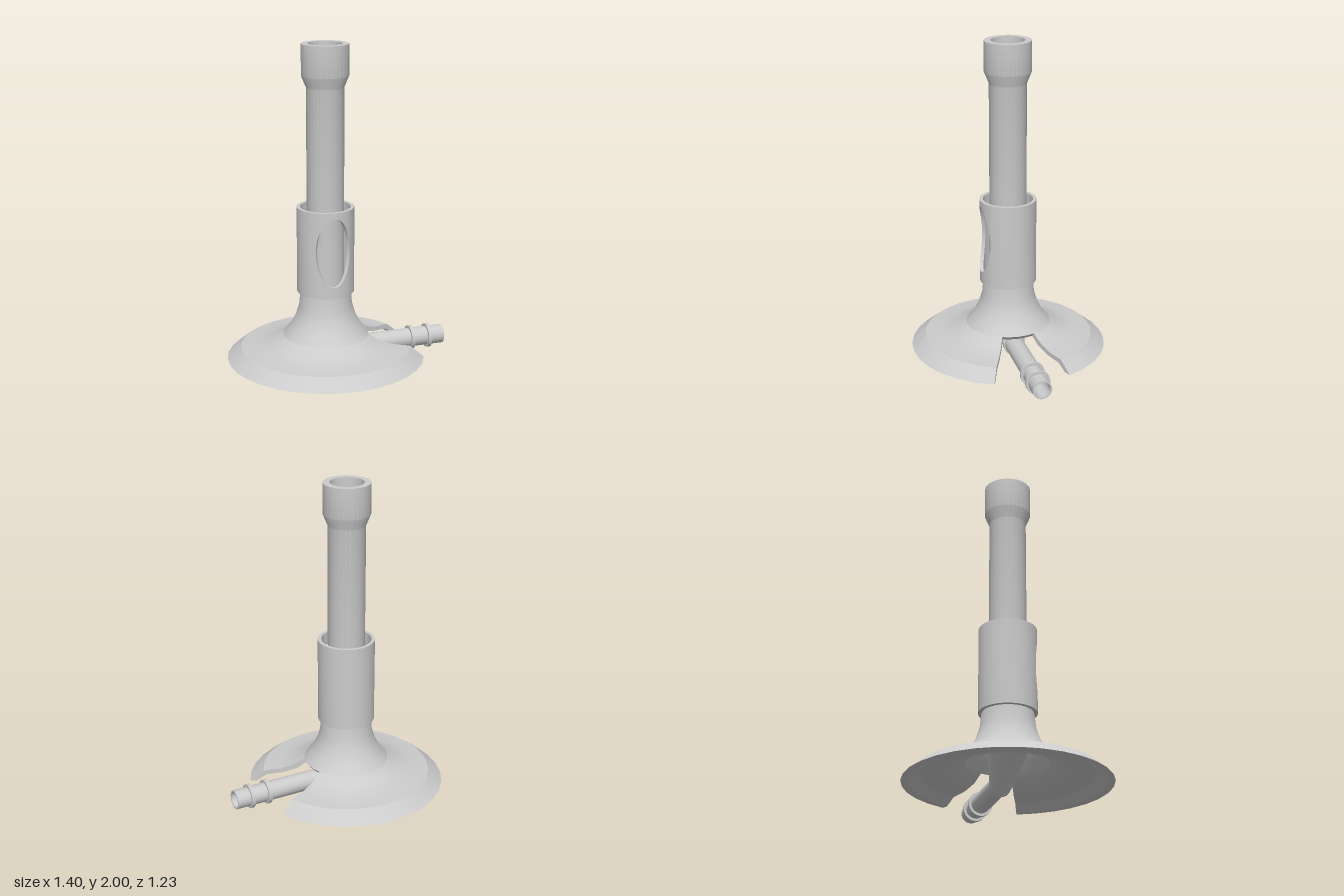
import * as THREE from 'three';
import { toCreasedNormals } from 'three/addons/utils/BufferGeometryUtils.js';
import { ConvexGeometry } from 'three/addons/geometries/ConvexGeometry.js';

const AXIS_X = -0.085; // the burner's vertical axis
const PIPE_Y = 0.08;
const SEG = 32;

const grey = new THREE.MeshStandardMaterial({ color: 0xcccccc, side: THREE.DoubleSide });

function mesh(name, geometry, crease = 0.42) {
  const m = new THREE.Mesh(toCreasedNormals(geometry, crease), grey);
  m.name = name;
  return m;
}

const vecs = (pts) => pts.map(([r, y]) => new THREE.Vector2(r, y));

// Profile loops run counter-clockwise: up the outside, down the inside.
function lathe(pts, seg = SEG, start = 0, length = Math.PI * 2) {
  return new THREE.LatheGeometry(vecs([...pts, pts[0]]), seg, start, length);
}

// Foot: a full flared neck, and a skirt with a wedge left open for the pipe
function buildBase() {
  const g = new THREE.Group();
  g.name = 'base';
  const neck = [
    [0.248, 0.16], [0.267, 0.183], [0.222, 0.24], [0.187, 0.305], [0.166, 0.375], [0.157, 0.462],
    [0.12, 0.462], [0.135, 0.365], [0.16, 0.29], [0.198, 0.222],
  ];
  const skirt = [
    [0.248, 0.16], [0.31, 0.115], [0.4, 0.088], [0.51, 0.078], [0.575, 0.037],
    [0.617, 0.037], [0.53, 0.107], [0.42, 0.115], [0.335, 0.14], [0.267, 0.183],
  ];
  g.add(mesh('neck', lathe(neck)));
  const gap = Math.PI / 8;
  const start = Math.PI / 2 + gap;
  g.add(mesh('skirt', lathe(skirt, 28, start, Math.PI * 2 - 2 * gap)));
  // flat faces that close the skirt at both sides of the gap
  for (const side of [-1, 1]) {
    const cut = new THREE.ShapeGeometry(new THREE.Shape(vecs(skirt)));
    cut.rotateY(side * gap);
    g.add(mesh('skirtCut', cut));
  }
  return g;
}

// Air sleeve: a plain ring wall behind, and two front strips shaped around the oval hole
function buildSleeve() {
  const g = new THREE.Group();
  g.name = 'airSleeve';
  const R = 0.177, r = 0.155, bottom = 0.465, top = 1.005;
  const holeY = 0.75, holeW = 0.108, holeH = 0.217;
  const half = Math.asin(holeW / R);
  const wall = (y0, y1) => [[r, y0], [R, y0], [R, y1], [r, y1]];
  g.add(mesh('sleeveBack', lathe(wall(bottom, top), 26, half, Math.PI * 2 - 2 * half)));
  for (const s of [-1, 1]) {
    const geo = lathe(s < 0 ? wall(bottom, holeY) : wall(holeY, top), 24, -half, 2 * half);
    const p = geo.attributes.position;
    for (let i = 0; i < p.count; i++) {
      const radius = Math.hypot(p.getX(i), p.getZ(i));
      // respace the columns evenly around the oval
      const t = (Math.atan2(p.getX(i), p.getZ(i)) / half) * (Math.PI / 2);
      const a = Math.asin((holeW / R) * Math.sin(t));
      const onHole = Math.abs(p.getY(i) - holeY) < 1e-4;
      const y = onHole ? holeY + s * holeH * Math.cos(t) : p.getY(i);
      p.setXYZ(i, radius * Math.sin(a), y, radius * Math.cos(a));
    }
    g.add(mesh('sleeveFront', geo));
  }
  return g;
}

// Barrel: a long open tube with a wider mouth
function buildBarrel() {
  return mesh('barrel', lathe([
    [0.1, 0.46], [0.115, 0.46], [0.115, 1.74], [0.144, 1.81], [0.144, 2], [0.103, 2], [0.1, 1.8],
  ]));
}

// Gas inlet: a stem under the neck, a slanted elbow and a ribbed pipe to the left
function buildInlet() {
  const g = new THREE.Group();
  g.name = 'gasInlet';
  const stem = new THREE.CylinderGeometry(0.118, 0.118, 0.25, SEG);
  stem.translate(AXIS_X, 0.335, 0);
  g.add(mesh('stem', stem));

  const pts = [];
  for (let i = 0; i < SEG; i++) {
    const a = (i / SEG) * Math.PI * 2, c = Math.cos(a), s = Math.sin(a);
    pts.push(new THREE.Vector3(AXIS_X + 0.118 * c, 0.21, 0.118 * s));
    pts.push(new THREE.Vector3(0.065, 0.07 + 0.07 * c, 0.066 * s));
  }
  g.add(mesh('elbow', new ConvexGeometry(pts)));

  const alongX = (geo) => geo.rotateZ(-Math.PI / 2).translate(0, PIPE_Y, 0);
  g.add(mesh('pipe', alongX(lathe([[0.05, 0.05], [0.06, 0.05], [0.06, 0.7], [0.05, 0.7]], 24))));
  for (const x of [0.485, 0.6]) {
    g.add(mesh('pipeRib', alongX(lathe(
      [[0.055, x - 0.011], [0.076, x - 0.011], [0.076, x + 0.011], [0.055, x + 0.011]], 24))));
  }
  return g;
}

export function createModel() {
  const model = new THREE.Group();
  model.name = 'gasBurner';
  const upright = new THREE.Group();
  upright.name = 'upright';
  upright.position.x = AXIS_X;
  upright.add(buildBase(), buildSleeve(), buildBarrel());
  model.add(upright, buildInlet());
  return model;
}
